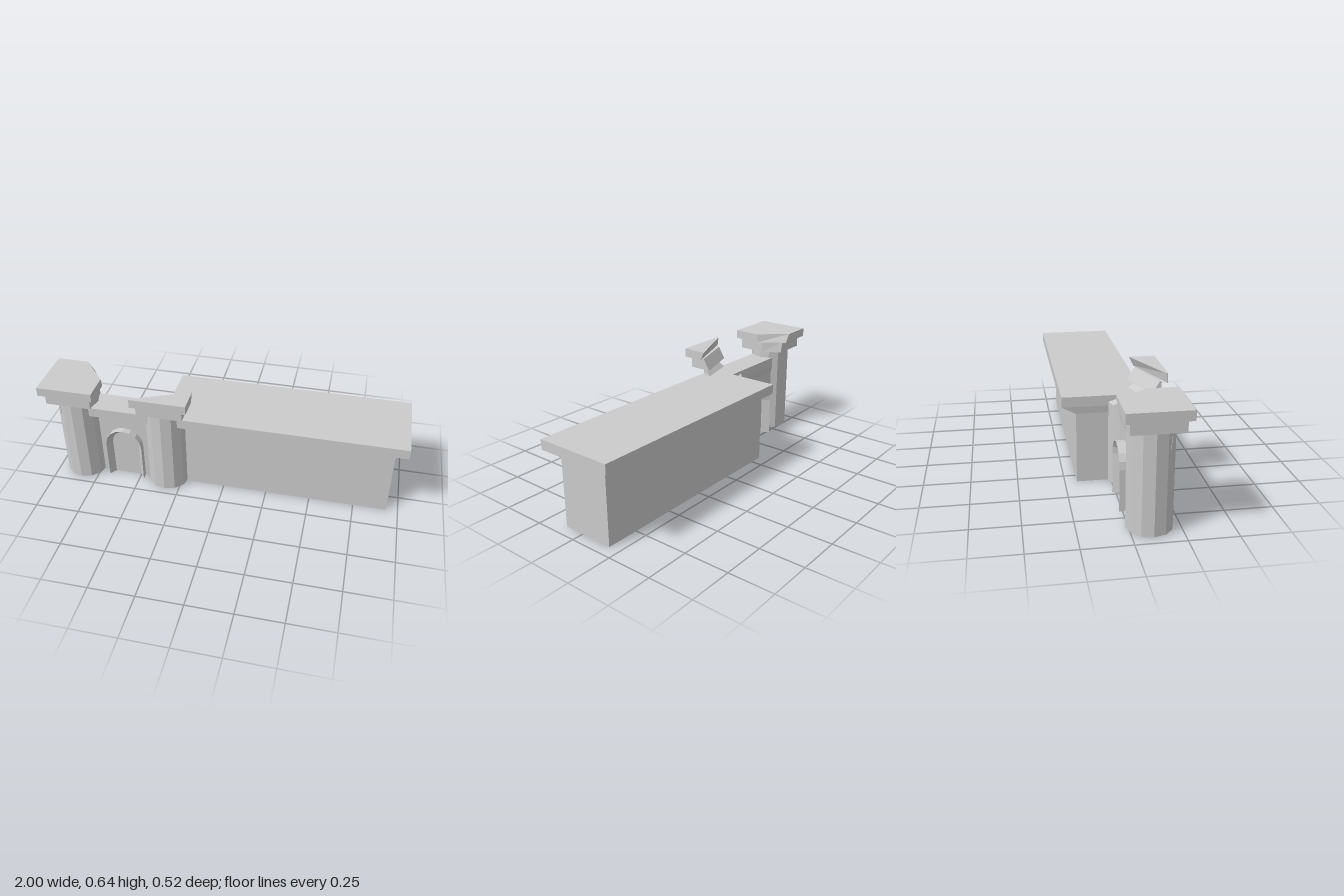
import * as THREE from 'three';

const mat = new THREE.MeshStandardMaterial({ color: 0xcccccc, flatShading: true });

// Solid through stacked outlines: layers are [y, [[x, z], ...]], each outline listed
// back-left, front-left, front-right, back-right; caps fan out from the first point.
function loft(layers) {
  const pos = [], idx = [], n = layers[0][1].length;
  layers.forEach(([y, pts]) => pts.forEach(([x, z]) => pos.push(x, y, z)));
  for (let l = 0; l < layers.length - 1; l++) {
    for (let i = 0; i < n; i++) {
      const a = l * n + i, b = l * n + (i + 1) % n;
      idx.push(a, b, b + n, a, b + n, a + n);
    }
  }
  const top = (layers.length - 1) * n;
  for (let i = 1; i < n - 1; i++) {
    idx.push(0, i + 1, i, top, top + i, top + i + 1);
  }
  return finish(pos, idx);
}

function finish(pos, idx) {
  const g = new THREE.BufferGeometry();
  g.setAttribute('position', new THREE.Float32BufferAttribute(pos, 3));
  g.setIndex(idx);
  const flat = g.toNonIndexed();
  flat.computeVertexNormals();
  return flat;
}

// Arched frame: a splayed cross-section [radius, z] swept up, over and down
function archFrame(springY, profile, segments) {
  const path = [[1, 0, 0]];
  for (let i = 0; i <= segments; i++) {
    const a = Math.PI * i / segments;
    path.push([Math.cos(a), springY, Math.sin(a)]);
  }
  path.push([-1, 0, 0]);
  const pos = [], idx = [], n = profile.length;
  path.forEach(([c, y, s]) => profile.forEach(([r, z]) => pos.push(c * r, y + s * r, z)));
  for (let i = 0; i < path.length - 1; i++) {
    for (let j = 0; j < n; j++) {
      const a = i * n + j, b = i * n + (j + 1) % n;
      idx.push(a, a + n, b, b, a + n, b + n);
    }
  }
  return finish(pos, idx);
}

export function createModel() {
  const model = new THREE.Group();
  const add = (name, geometry, x = 0, y = 0, z = 0, material = mat) => {
    const mesh = new THREE.Mesh(geometry, material);
    mesh.name = name;
    mesh.position.set(x, y, z);
    model.add(mesh);
    return mesh;
  };

  // Long hall and the thinner gate wall share one L-shaped plan
  const plan = (x0, x1, gateBack, front, back) => [
    [x0, gateBack], [-0.84, gateBack], [-0.84, front], [x1, front], [x1, back], [x0, back]];
  const wallPlan = plan(-0.325, 0.935, 0.03, 0.115, -0.185);
  const roofPlan = plan(-0.33, 1, 0.025, 0.175, -0.26);
  add('walls', loft([[0, wallPlan], [0.39, wallPlan]]));
  add('roof', loft([[0.39, wallPlan], [0.43, roofPlan], [0.485, roofPlan]]));

  // Gate arch, standing out of the wall on both faces
  const double = mat.clone();
  double.side = THREE.DoubleSide;
  add('gateArch', archFrame(0.225,
    [[0.105, 0.153], [0.078, 0.118], [0.078, 0.027], [0.105, -0.017]], 8), -0.58, 0, 0, double);

  // Twelve-sided towers
  const towerR = 0.116;
  const tower = (name, x, y1) => add(name,
    new THREE.CylinderGeometry(towerR, towerR, y1 - 0.005, 12), x, (y1 + 0.005) / 2, 0.1);
  tower('outerTower', -0.84, 0.525);
  const inner = tower('innerTower', -0.33, 0.485);
  // Bevel the back of the inner tower's top
  const p = inner.geometry.attributes.position;
  for (let i = 0; i < p.count; i++) {
    if (p.getY(i) > 0 && p.getZ(i) < -0.09) p.setY(i, p.getY(i) - 0.035);
  }

  // Narrow slit on the outer tower
  const slit = add('arrowSlit', new THREE.BoxGeometry(0.014, 0.06, 0.008), -0.918, 0.46, 0.178);
  slit.rotation.y = -Math.PI / 4;

  // Outer tower caps, with the inner back corner broken off
  const outerCap = (x0, x1, z0, z1, cutZ, cutX) =>
    [[x0, z0], [x0, z1], [x1, z1], [x1, cutZ], [cutX, z0]];
  add('outerCapLower', loft([
    [0.525, outerCap(-0.97, -0.715, -0.025, 0.235, 0.075, -0.775)],
    [0.59, outerCap(-0.97, -0.715, -0.025, 0.235, 0.085, -0.79)]]));
  add('outerCapUpper', loft([
    [0.59, outerCap(-1, -0.69, -0.05, 0.26, 0.095, -0.79)],
    [0.64, outerCap(-1, -0.69, -0.05, 0.26, 0.105, -0.825)]]));

  // Inner tower: neck and caps sheared off along a diagonal at the back
  add('innerNeck', loft([
    [0.48, [[-0.43, 0.158], [-0.388, 0.2], [-0.33, 0.216], [-0.272, 0.2], [-0.23, 0.158], [-0.214, 0.105]]],
    [0.525, [[-0.392, 0.195], [-0.388, 0.2], [-0.33, 0.216], [-0.272, 0.2], [-0.23, 0.158], [-0.231, 0.155]]]]));
  const innerCap = (x0, x1, z1, cutLeft, cutRight) =>
    [[x0, cutLeft], [x0, z1], [x1, z1], [x1, cutRight]];
  add('innerCapLower', loft([
    [0.525, innerCap(-0.455, -0.2, 0.235, 0.185, 0.105)],
    [0.59, innerCap(-0.455, -0.2, 0.235, 0.225, 0.145)]]));
  add('innerCapUpper', loft([
    [0.59, innerCap(-0.48, -0.17, 0.26, 0.257, 0.145)],
    [0.64, innerCap(-0.48, -0.17, 0.26, 0.25, 0.12)]]));

  return model;
}
